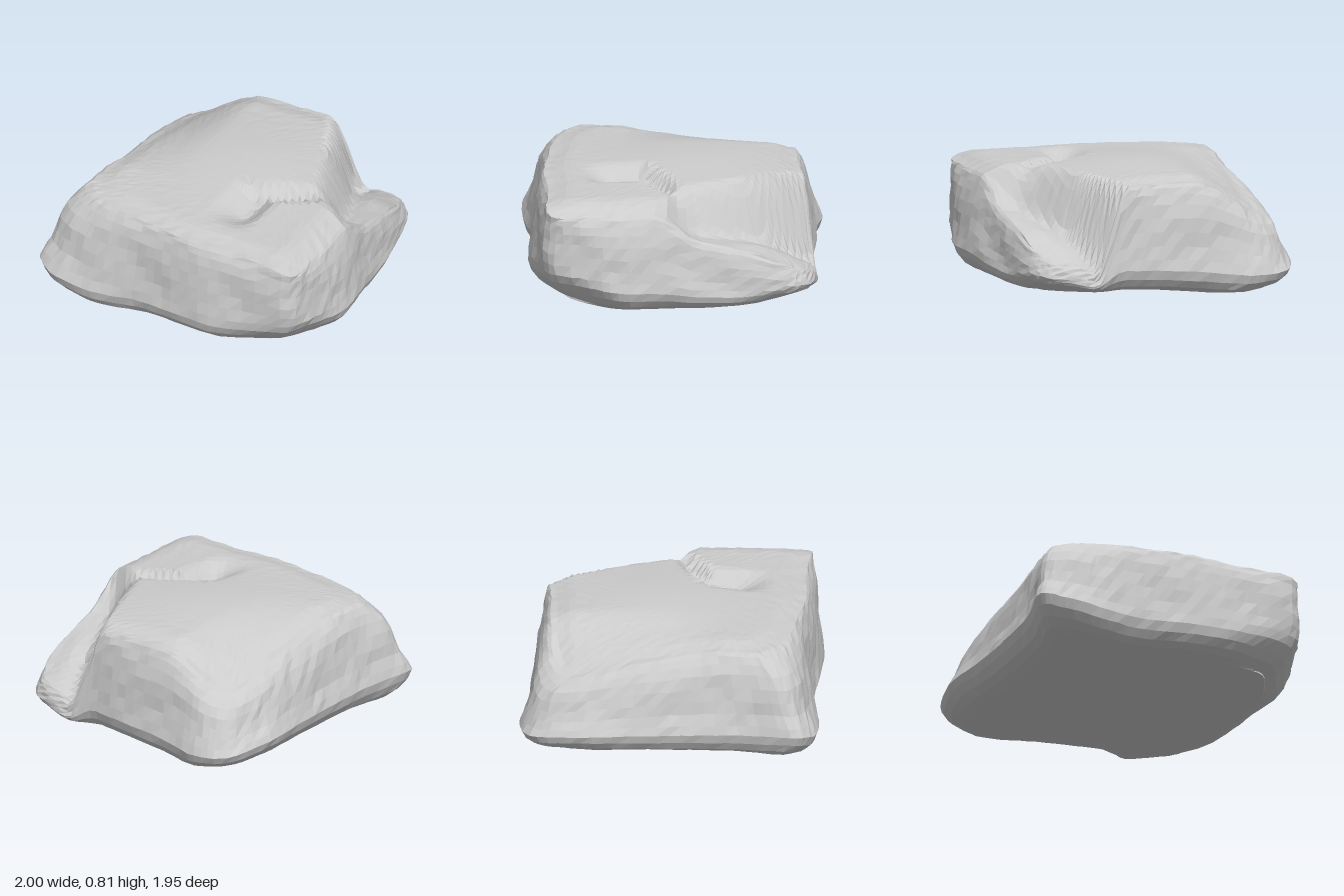
import * as THREE from 'three';

const { lerp, smoothstep, clamp } = THREE.MathUtils;

// Paired outline points, counter-clockwise from the front left corner:
// widest contour (x, z) and upper rim contour (x, z)
const OUTLINE = [
  [-1.00, 0.86, -0.76, 0.58], [-0.88, 0.95, -0.69, 0.67], [-0.60, 0.97, -0.54, 0.75],
  [-0.25, 0.92, -0.22, 0.81], [0.10, 0.95, 0.04, 0.85], [0.45, 0.95, 0.42, 0.83],
  [0.84, 0.86, 0.85, 0.83], [0.96, 0.62, 0.88, 0.62], [1.00, 0.38, 0.87, 0.35],
  [0.95, 0.00, 0.85, 0.00], [0.89, -0.40, 0.82, -0.38], [0.83, -0.74, 0.78, -0.70],
  [0.75, -0.86, 0.70, -0.81], [0.50, -0.92, 0.47, -0.86], [0.28, -0.89, 0.24, -0.83],
  [0.00, -0.92, 0.00, -0.80], [-0.38, -0.93, -0.36, -0.78], [-0.67, -0.97, -0.58, -0.75],
  [-0.87, -0.89, -0.71, -0.66], [-0.97, -0.58, -0.74, -0.46], [-0.94, -0.18, -0.75, -0.14],
  [-0.93, 0.20, -0.75, 0.18], [-0.94, 0.55, -0.76, 0.42],
];

// Side profile: [fraction of height, blend from wide contour to rim, contour scale]
const SIDE = [
  [0.02, 0, 0.88], [0.06, 0, 0.94], [0.13, 0, 0.98], [0.22, 0, 1], [0.32, 0.1, 1], [0.44, 0.22, 1],
  [0.57, 0.31, 1], [0.70, 0.40, 1], [0.82, 0.52, 1], [0.91, 0.69, 1], [0.97, 0.86, 1], [1, 1, 1],
];
const UNDER = [0, 0.3, 0.6, 0.8];
const TOP = [0.95, 0.9, 0.85, 0.8, 0.75, 0.7, 0.65, 0.6, 0.55, 0.5, 0.45, 0.4, 0.34, 0.28, 0.21, 0.13, 0];
const SEGMENTS = 110;

// Linear interpolation through [position, value] stops
function stops(t, list) {
  for (let i = 1; i < list.length; i++) {
    const [a, va] = list[i - 1], [b, vb] = list[i];
    if (t <= b) return lerp(va, vb, clamp((t - a) / (b - a), 0, 1));
  }
  return list[list.length - 1][1];
}

// Height of the upper surface
function topHeight(x, z) {
  // gentle dome, falling away towards the rear left corner
  let h = 0.765 + 0.05 * Math.exp(-((x + 0.02) ** 2 + (z + 0.1) ** 2) / 0.25);
  h -= smoothstep(-x, 0.25, 0.8) * stops(z, [[-0.7, 0.24], [-0.2, 0.11], [0.35, 0]]);
  // crevice between the dome and the front right slab
  const d = x - stops(z, [[0, 0.6], [0.22, 0.28], [0.6, 0.26]]);
  h -= 0.09 * (d < 0 ? smoothstep(d, -0.22, 0) : 1 - smoothstep(d, 0, 0.15))
    * smoothstep(z, -0.04, 0.1) * (1 - smoothstep(z, 0.38, 0.65));
  // broken shelf at the rear right
  const crease = stops(z, [[-0.85, 0.18], [-0.4, 0.38], [0, 0.52], [0.12, 0.66]]);
  const shelf = stops(z, [[-0.88, 0.28], [-0.75, 0.33], [-0.5, 0.45], [-0.1, 0.56], [0.1, 0.76]]);
  const groove = 0.04 * Math.exp(-(((x - crease - 0.24) / 0.1) ** 2));
  return lerp(h, Math.min(h, shelf - groove), smoothstep(x, crease, crease + 0.25));
}

// How far the lower right corners are broken away
const cornerCut = (p) => smoothstep(p.x * Math.abs(p.z), 0.3, 0.72);

// Height of the underside
const baseHeight = (p) => 0.07 * cornerCut(p) +
  stops(p.x, [[-1, 0.1], [-0.88, 0.05], [-0.6, 0.005], [-0.4, 0.005], [0, 0.045], [0.4, 0.055], [0.8, 0.035], [1, 0.07]]);

function rockGeometry() {
  const loop = (k) => new THREE.CatmullRomCurve3(
    OUTLINE.map((p) => new THREE.Vector3(p[k], 0, p[k + 1])), true, 'centripetal');
  const wide = loop(0), rim = loop(2);

  let seed = 7;
  const jitter = (amount) => {
    seed = (seed * 16807) % 2147483647;
    return (seed / 2147483647 - 0.5) * amount;
  };

  const positions = [], index = [];
  const add = (x, y, z, rough) =>
    positions.push(x + jitter(rough), Math.max(0, y + jitter(rough * 0.6)), z + jitter(rough));

  // Rings run from the centre of the underside, up the sides, to the centre of the top
  for (const s of UNDER) {
    for (let j = 0; j < SEGMENTS; j++) {
      const p = wide.getPoint(j / SEGMENTS).multiplyScalar(s);
      add(p.x, baseHeight(p), p.z, 0);
    }
  }
  for (const [f, blend, scale] of SIDE) {
    for (let j = 0; j < SEGMENTS; j++) {
      const r = rim.getPoint(j / SEGMENTS);
      const w = wide.getPoint(j / SEGMENTS);
      const cut = 0.08 * cornerCut(w) * (1 - smoothstep(f, 0.05, 0.4));
      const p = w.lerp(r, blend).multiplyScalar(scale - cut);
      const lump = f > 0.25 ? 1 + 0.008 * Math.sin(9 * p.x + 5 * f) * Math.sin(8 * p.z - 6 * f) : 1;
      add(p.x * lump, lerp(baseHeight(p), topHeight(r.x, r.z) - 0.03, f), p.z * lump, f > 0.25 ? 0.012 : 0.006);
    }
  }
  for (const s of TOP) {
    for (let j = 0; j < SEGMENTS; j++) {
      const p = rim.getPoint(j / SEGMENTS).multiplyScalar(s);
      add(p.x, topHeight(p.x, p.z) - 0.03 * smoothstep(s, 0.8, 1), p.z, 0.01 * s * s);
    }
  }

  const rings = UNDER.length + SIDE.length + TOP.length;
  for (let i = 0; i < rings - 1; i++) {
    for (let j = 0; j < SEGMENTS; j++) {
      const k = (j + 1) % SEGMENTS;
      const a = i * SEGMENTS + j, b = i * SEGMENTS + k;
      const c = b + SEGMENTS, d = a + SEGMENTS;
      if (i > 0) index.push(a, b, c);
      if (i < rings - 2) index.push(a, c, d);
    }
  }

  const geometry = new THREE.BufferGeometry();
  geometry.setAttribute('position', new THREE.Float32BufferAttribute(positions, 3));
  geometry.setIndex(index);
  geometry.computeVertexNormals();
  return geometry;
}

export function createModel() {
  const group = new THREE.Group();
  group.name = 'boulder';
  const rock = new THREE.Mesh(
    rockGeometry(),
    new THREE.MeshStandardMaterial({ color: 0xcccccc, flatShading: true }));
  rock.name = 'rock';
  group.add(rock);
  return group;
}
